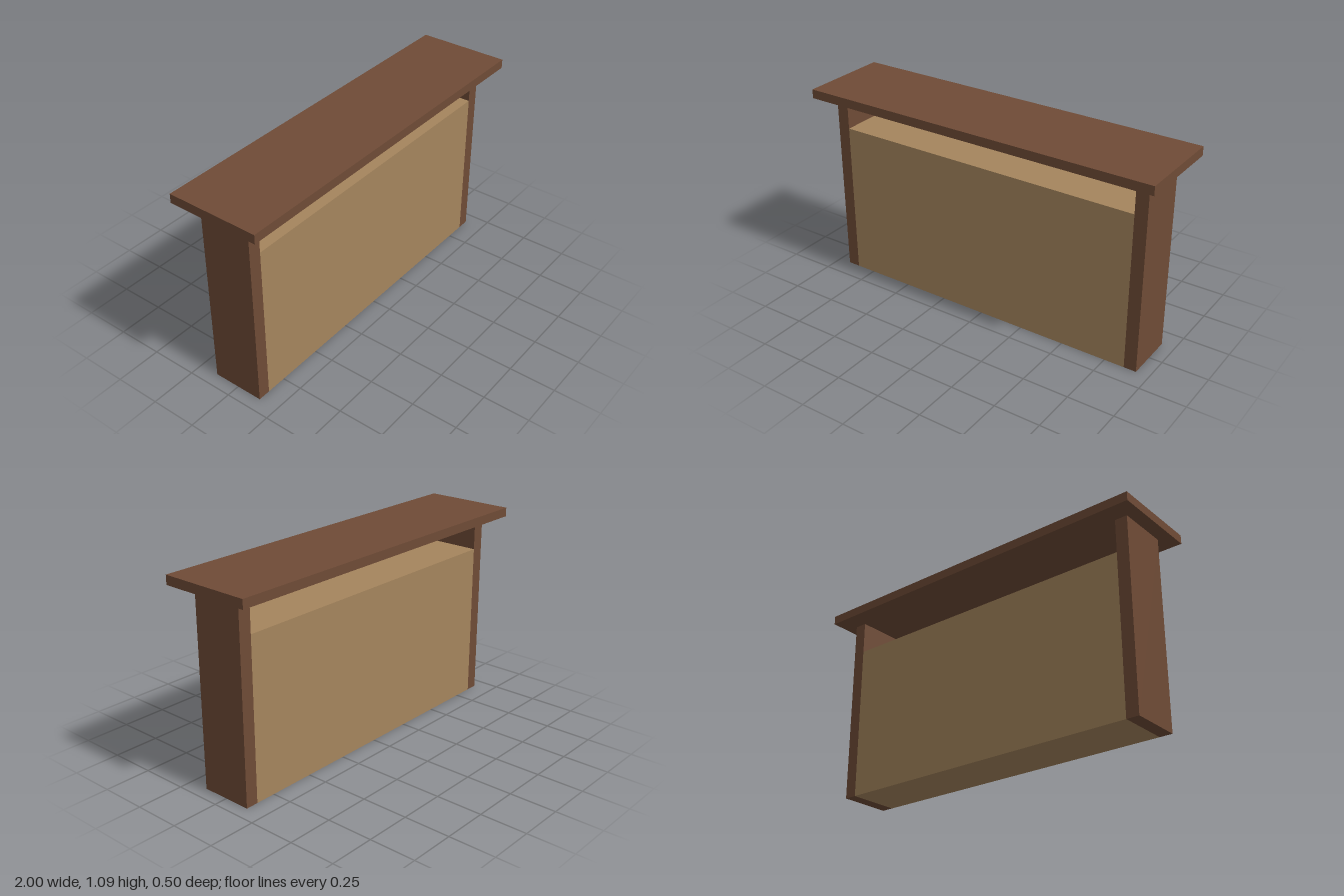
import * as THREE from 'three';

export function createModel() {
  const group = new THREE.Group();
  const darkWood = new THREE.MeshStandardMaterial({ color: 0x6f4b36 });
  darkWood.name = 'darkWood';
  const lightWood = new THREE.MeshStandardMaterial({ color: 0xa5855d });
  lightWood.name = 'lightWood';

  // Box resting on a given height
  const box = (name, material, [w, h, d], x, bottom) => {
    const mesh = new THREE.Mesh(new THREE.BoxGeometry(w, h, d), material);
    mesh.name = name;
    mesh.position.set(x, bottom + h / 2, 0);
    group.add(mesh);
  };

  const depth = 0.284;
  const postHeight = 1.04;
  const postWidth = 0.068;
  const postX = 0.894;

  // Overhanging top board
  box('topBoard', darkWood, [2, 0.049, 0.5], 0, postHeight);

  // Side posts
  for (const [name, side] of [['leftPost', 1], ['rightPost', -1]]) {
    box(name, darkWood, [postWidth, postHeight, depth], side * postX, 0);
  }

  // Solid body between the posts, leaving a gap under the top
  box('body', lightWood, [2 * postX - postWidth, 0.86, depth], 0, 0);

  return group;
}
